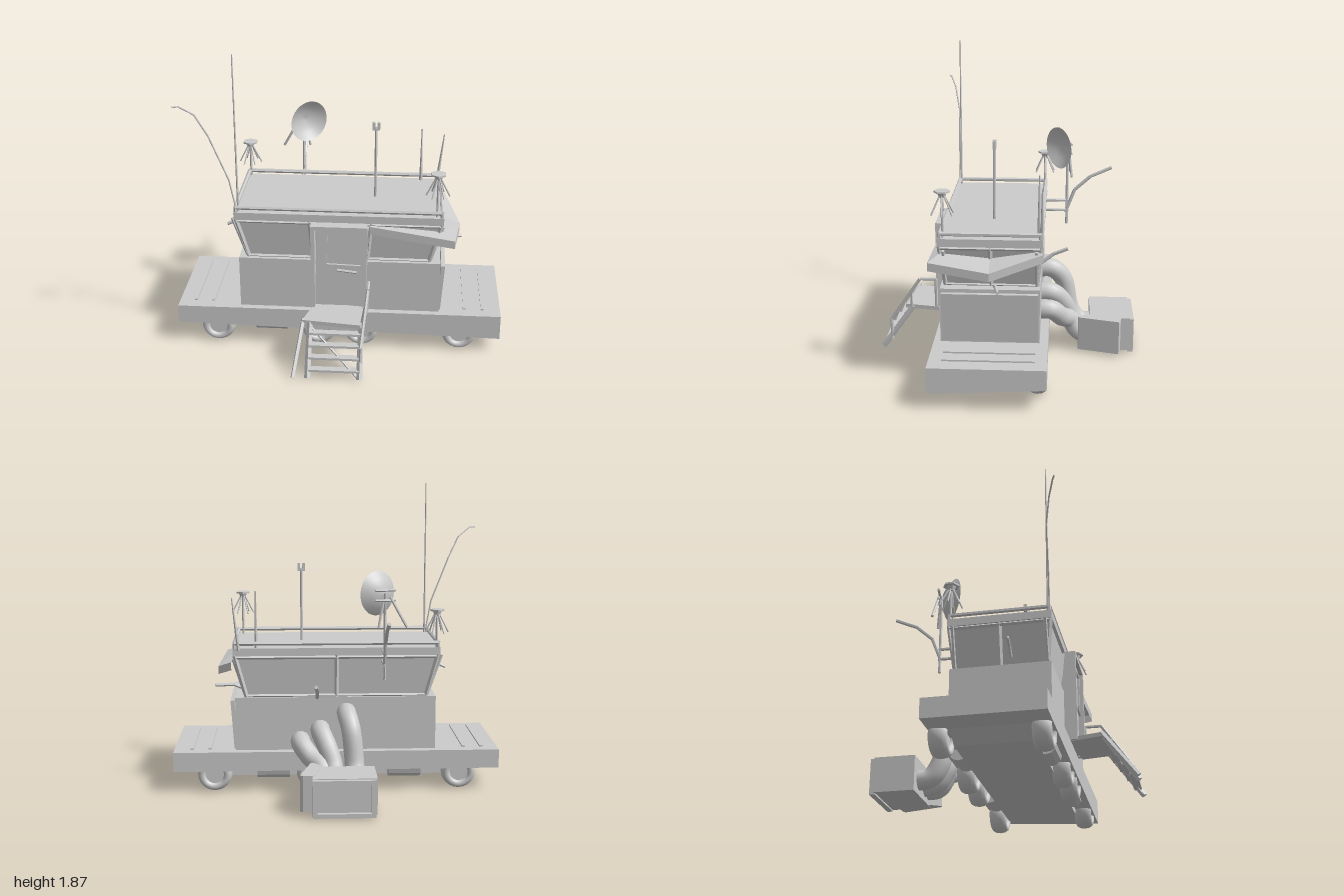
import * as THREE from 'three';

const mat = new THREE.MeshStandardMaterial({ color: 0xcccccc, flatShading: true });
const smooth = new THREE.MeshStandardMaterial({ color: 0xcccccc });
const thin = new THREE.MeshStandardMaterial({ color: 0xcccccc, flatShading: true, side: THREE.DoubleSide });
const thinSmooth = new THREE.MeshStandardMaterial({ color: 0xcccccc, side: THREE.DoubleSide });
const V = (p) => new THREE.Vector3(...p);

export function createModel() {
  const root = new THREE.Group();
  const add = (name, geo, m = mat, parent = root) => {
    const mesh = new THREE.Mesh(geo, m);
    mesh.name = name;
    parent.add(mesh);
    return mesh;
  };
  const group = (name) => {
    const g = new THREE.Group();
    g.name = name;
    root.add(g);
    return g;
  };
  // box from its limits
  const box = (name, x0, x1, y0, y1, z0, z1, parent) => {
    const geo = new THREE.BoxGeometry(x1 - x0, y1 - y0, z1 - z0);
    geo.translate((x0 + x1) / 2, (y0 + y1) / 2, (z0 + z1) / 2);
    return add(name, geo, mat, parent);
  };
  // move the corners of a box by a rule
  const reshape = (mesh, rule) => {
    const p = mesh.geometry.attributes.position;
    for (let i = 0; i < p.count; i++) p.setXYZ(i, ...rule(p.getX(i), p.getY(i), p.getZ(i)));
    mesh.geometry.computeVertexNormals();
  };
  // straight bar between two points
  const rod = (name, a, b, r, parent, rTop = r, sides = 6) => {
    const d = V(b).sub(V(a));
    const mesh = add(name, new THREE.CylinderGeometry(rTop, r, d.length(), sides), mat, parent);
    mesh.position.copy(V(a).add(V(b)).multiplyScalar(0.5));
    mesh.quaternion.setFromUnitVectors(new THREE.Vector3(0, 1, 0), d.normalize());
    return mesh;
  };
  // chain of bars
  const chain = (name, pts, r, parent) => {
    for (let i = 1; i < pts.length; i++) rod(name, pts[i - 1], pts[i], r, parent);
  };

  // platform with an uneven lower edge, over a chassis with sloped ends
  const deck = box('deckPlatform', -1, 1, 0.1, 0.255, -0.27, 0.405);
  reshape(deck, (x, y, z) => [x, y > 0.2 ? y : x < 0 ? 0.14 : z > 0 ? 0.1 : 0.135, z]);
  for (const x of [-0.9, -0.79, 0.78, 0.89]) box('deckSlat', x - 0.009, x + 0.009, 0.25, 0.264, -0.2, 0.33);
  const chassis = box('chassis', -0.85, 0.85, 0.075, 0.15, -0.15, 0.3);
  reshape(chassis, (x, y, z) => [y < 0.1 ? x * 0.86 : x, y, z]);

  // running gear, tucked inside the platform edges
  for (const x of [-0.755, -0.12, 0.14, 0.75]) {
    for (const z of [-0.215, 0.345]) {
      const wheel = group('wheel');
      const tyre = add('tyre', new THREE.TorusGeometry(0.077, 0.03, 12, 24), smooth, wheel);
      tyre.scale.z = 1.8;
      const hub = add('hub', new THREE.CylinderGeometry(0.065, 0.065, 0.07, 20), mat, wheel);
      hub.rotation.x = Math.PI / 2;
      wheel.position.set(x, 0.112, z);
    }
  }
  for (const x of [-0.42, 0.39]) {
    for (const z of [-0.18, 0.31]) rod('tank', [x - 0.1, 0.13, z], [x + 0.1, 0.13, z], 0.06, root, 0.06, 12);
  }

  // lower cabin with a leaning end panel, and flared upper cabin
  box('lowerCabin', -0.61, 0.62, 0.25, 0.585, -0.22, 0.365);
  const endPanel = box('endPanel', -0.012, 0.012, 0, 0.3, -0.21, 0.355);
  endPanel.position.set(0.617, 0.265, 0);
  endPanel.rotation.z = -0.07;
  const low = { x0: -0.55, x1: 0.55, z0: -0.2, z1: 0.335, y: 0.58 };
  const high = { x0: -0.62, x1: 0.62, z0: -0.225, z1: 0.365, y: 0.85 };
  const at = (r, u, w, y) => [r.x0 + (r.x1 - r.x0) * u, y, r.z0 + (r.z1 - r.z0) * w];
  const upper = box('upperCabin', 0, 1, 0, 1, 0, 1);
  reshape(upper, (x, y, z) => (y < 0.5 ? at(low, x, z, low.y) : at(high, x, z, high.y)));
  const frame = group('windowFrames');
  for (const [u, w] of [[0, 0], [1, 0], [1, 1], [0, 1], [0.36, 1], [0.66, 1], [0.5, 0], [0, 0.5], [1, 0.5]])
    rod('windowPost', at(low, u, w, 0.585), at(high, u, w, 0.85), 0.014, frame, 0.014, 4);
  for (const [r, y] of [[low, 0.592], [high, 0.835]]) {
    const c = [at(r, 0, 0, y), at(r, 1, 0, y), at(r, 1, 1, y), at(r, 0, 1, y)];
    c.forEach((p, i) => rod('windowRail', p, c[(i + 1) % 4], 0.012, frame, 0.012, 4));
  }

  // roof slab and roof rail
  box('roof', -0.632, 0.632, 0.845, 0.892, -0.235, 0.375);
  const rail = group('roofRail');
  const rc = [[-0.62, -0.225], [0.62, -0.225], [0.62, 0.36], [-0.62, 0.36]];
  rc.forEach(([x, z], i) => {
    const [nx, nz] = rc[(i + 1) % 4];
    rod('rail', [x, 0.92, z], [nx, 0.92, nz], 0.013, rail);
    rod('railPost', [x, 0.88, z], [x, 0.925, z], 0.012, rail);
  });

  // shelf-like visor around the front corner and the left end
  const inner = [[0.19, 0.835, 0.365], [0.61, 0.8, 0.36], [0.6, 0.77, 0.07], [0.61, 0.82, -0.22]];
  const outer = [[0.19, 0.83, 0.385], [0.7, 0.77, 0.425], [0.74, 0.725, 0.07], [0.64, 0.81, -0.238]];
  const tri = [];
  const quad = (a, b, c, d) => tri.push(...a, ...b, ...c, ...a, ...c, ...d);
  const drop = (p) => [p[0], p[1] - 0.05, p[2]];
  for (let i = 0; i < 3; i++) {
    quad(inner[i], outer[i], outer[i + 1], inner[i + 1]);
    quad(outer[i], drop(outer[i]), drop(outer[i + 1]), outer[i + 1]);
  }
  const vg = new THREE.BufferGeometry();
  vg.setAttribute('position', new THREE.Float32BufferAttribute(tri, 3));
  vg.computeVertexNormals();
  add('visor', vg, thin);

  // entrance: projecting jambs and lintel, door with window frame and handle
  for (const x of [-0.15, 0.165]) box('doorJamb', x - 0.012, x + 0.012, 0.28, 0.84, 0.33, 0.44);
  box('doorLintel', -0.16, 0.175, 0.82, 0.845, 0.33, 0.44);
  const door = group('door');
  box('doorLeaf', -0.15, 0.16, 0.29, 0.83, 0.34, 0.405, door);
  for (const [x0, x1, y0, y1] of [[-0.1, -0.085, 0.58, 0.81], [0.12, 0.135, 0.58, 0.81], [-0.1, 0.135, 0.57, 0.585], [-0.1, 0.135, 0.8, 0.815]])
    box('doorWindowFrame', x0, x1, y0, y1, 0.4, 0.418, door);
  rod('doorHandle', [-0.02, 0.55, 0.42], [0.1, 0.54, 0.42], 0.008, door);
  door.rotation.z = -0.03;

  // landing, stairs, low rail on one side and handrail on the other
  const stairs = group('stairs');
  const landing = new THREE.Shape([[-0.14, -0.38], [-0.2, -0.6], [0.15, -0.64], [0.19, -0.42]].map((p) => new THREE.Vector2(...p)));
  const lg = new THREE.ExtrudeGeometry(landing, { depth: 0.025, bevelEnabled: false });
  lg.rotateX(-Math.PI / 2);
  add('landing', lg, mat, stairs).position.y = 0.275;
  for (let i = 0; i < 4; i++) {
    const y = 0.235 - i * 0.06, z = 0.63 + i * 0.04;
    box('step', -0.155, 0.155, y - 0.007, y + 0.007, z - 0.022, z + 0.022, stairs);
  }
  for (const x of [-0.155, 0.155]) rod('stringer', [x, 0.29, 0.59], [x, 0.014, 0.785], 0.018, stairs, 0.018, 4);
  rod('lowRail', [-0.195, 0.3, 0.58], [-0.243, 0.012, 0.79], 0.013, stairs, 0.013, 4);
  chain('handrail', [[0.18, 0.29, 0.44], [0.19, 0.485, 0.44], [0.19, 0.485, 0.54], [0.158, 0.2, 0.73], [0.158, 0.06, 0.73]], 0.01, stairs);
  rod('handrailPost', [0.155, 0.28, 0.6], [0.175, 0.4, 0.6], 0.008, stairs);
  rod('stairBrace', [-0.15, 0.26, 0.6], [0.14, 0.02, 0.77], 0.007, stairs);

  // antennas
  rod('tallAntenna', [-0.605, 0.88, 0.35], [-0.605, 1.87, 0.35], 0.007, root, 0.004);
  chain('whipAntenna', [[-0.61, 0.88, 0.36], [-0.65, 1.1, 0.365], [-0.76, 1.38, 0.375], [-0.83, 1.52, 0.405], [-0.91, 1.58, 0.44], [-0.945, 1.58, 0.455]], 0.005);
  for (const [x, z, x2, y2] of [[0.49, -0.21, 0.49, 1.24], [0.595, -0.23, 0.632, 1.2]]) rod('shortAntenna', [x, 0.88, z], [x2, y2, z], 0.012, root, 0.004);
  for (const [x, z, top] of [[-0.61, -0.22, 1.12], [0.59, 0.345, 1.165]]) {
    const a = group('umbrellaAntenna');
    rod('pole', [x, 0.88, z], [x, top, z], 0.008, a);
    add('hat', new THREE.CylinderGeometry(0.048, 0.048, 0.01, 6), mat, a).position.set(x, top, z);
    add('collar', new THREE.CylinderGeometry(0.03, 0.018, 0.03, 6), mat, a).position.set(x, top - 0.02, z);
    for (let i = 0; i < 6; i++) {
      const c = Math.cos(i * Math.PI / 3), s = Math.sin(i * Math.PI / 3);
      rod('rib', [x + c * 0.012, top - 0.02, z + s * 0.012], [x + c * 0.07, top - 0.135, z + s * 0.07], 0.005, a);
    }
  }
  const mast = group('forkedMast');
  rod('pole', [0.21, 0.88, 0.07], [0.21, 1.35, 0.07], 0.009, mast);
  box('forkBase', 0.187, 0.233, 1.33, 1.345, 0.06, 0.08, mast);
  for (const x of [0.195, 0.226]) box('prong', x - 0.009, x + 0.009, 1.34, 1.38, 0.06, 0.08, mast);

  // dish on a bracketed pole
  const dish = group('dishAntenna');
  const bowlPts = [0, 0.045, 0.09, 0.133].map((r) => new THREE.Vector2(r, r * r * 3.4 - 0.06));
  const bowl = add('dish', new THREE.LatheGeometry(bowlPts, 32), thinSmooth, dish);
  bowl.position.set(-0.238, 1.235, -0.313);
  bowl.quaternion.setFromUnitVectors(new THREE.Vector3(0, 1, 0), V([0.6, 0, 0.8]));
  rod('pole', [-0.28, 0.72, -0.37], [-0.28, 1.24, -0.37], 0.009, dish);
  for (const y of [0.81, 0.875]) rod('bracket', [-0.28, y, -0.22], [-0.28, y, -0.38], 0.01, dish);
  rod('strut', [-0.31, 1.22, -0.38], [-0.41, 1.04, -0.39], 0.009, dish);
  rod('strut', [-0.27, 1.2, -0.38], [-0.24, 1.04, -0.4], 0.008, dish);
  for (const y of [1.2, 1.26]) rod('crossBar', [-0.34, y, -0.375], [-0.22, y, -0.395], 0.008, dish);
  chain('arm', [[-0.28, 0.82, -0.37], [-0.28, 0.95, -0.42], [-0.28, 1.04, -0.52], [-0.28, 1.1, -0.655]], 0.011, dish);

  // small bent pipes on the cabin sides
  chain('sidePipe', [[-0.58, 0.64, 0.13], [-0.62, 0.69, 0.13], [-0.67, 0.72, 0.13], [-0.715, 0.7, 0.13]], 0.01);
  chain('sidePipe', [[0.54, 0.57, 0.05], [0.64, 0.615, 0.04], [0.755, 0.615, 0.02]], 0.011);
  chain('rearPipe', [[0.12, 0.57, -0.2], [0.12, 0.64, -0.29], [0.13, 0.68, -0.38]], 0.012);
  for (const z of [-0.2, 0.34]) {
    rod('endStrut', [-0.56, 0.6, z], [-0.645, 0.84, z], 0.01);
    rod('endStrut', [0.56, 0.6, z], [0.63, 0.82, z], 0.01);
  }

  // thick hoses arching out and down to the ground unit behind
  for (const [x, top, x2] of [[-0.06, 0.485, -0.1], [0.1, 0.38, 0.03], [0.22, 0.31, 0.1]]) {
    const path = new THREE.CatmullRomCurve3([[x, top, -0.18], [x, top, -0.28], [(x + x2) / 2, top - 0.07, -0.35], [x2, 0.2, -0.4], [x2, 0.12, -0.46], [x2, 0.11, -0.56]].map(V));
    add('hose', new THREE.TubeGeometry(path, 32, 0.06, 14), smooth);
  }

  // ground unit with a skewed side and a framed back
  const unit = group('groundUnit');
  box('unitBody', -0.21, 0.16, 0.02, 0.235, -0.775, -0.525, unit);
  const wedge = new THREE.Shape([[0.1, 0.53], [0.145, 0.45], [0.165, 0.455], [0.232, 0.705], [0.215, 0.715], [0.155, 0.72]].map((p) => new THREE.Vector2(...p)));
  const wg = new THREE.ExtrudeGeometry(wedge, { depth: 0.215, bevelEnabled: false });
  wg.rotateX(-Math.PI / 2);
  add('unitSide', wg, mat, unit).position.y = 0.022;
  for (const [x0, x1, y0, y1] of [[-0.2, -0.175, 0.01, 0.23], [0.135, 0.16, 0.01, 0.23], [-0.2, 0.16, 0.01, 0.035], [-0.2, 0.16, 0.205, 0.23]])
    box('unitFrame', x0, x1, y0, y1, -0.8, -0.765, unit);
  return root;
}
